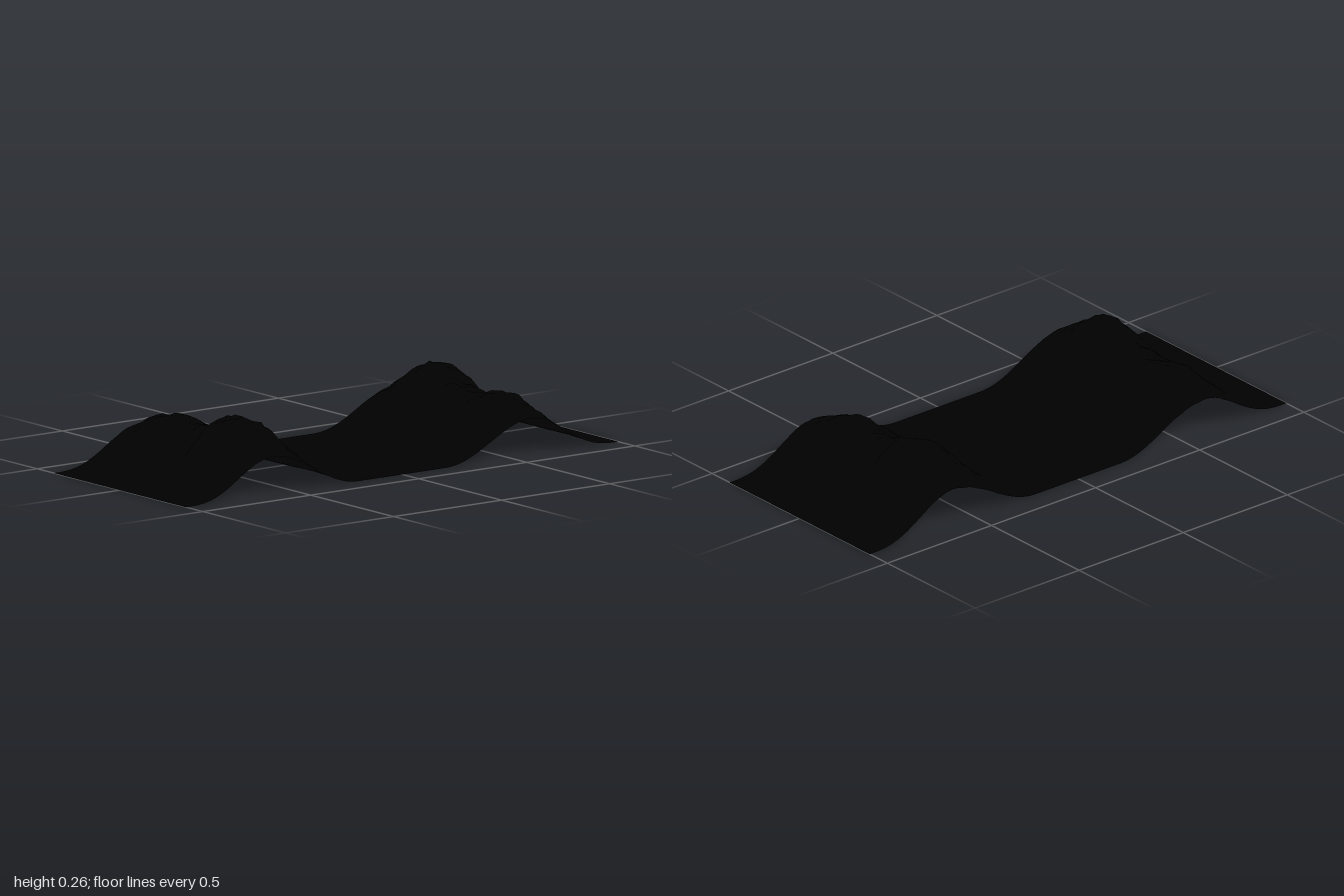
import * as THREE from 'three';

const { lerp, smoothstep } = THREE.MathUtils;

// Crest height along a ridge: a gentle shoulder, a saddle, a sharp step, then the summit
const crest = [
  [-0.4, 0.137], [-0.22, 0.205], [-0.1, 0.185], [0.08, 0.2], [0.1, 0.24],
  [0.18, 0.262], [0.23, 0.245], [0.3, 0.196], [0.4, 0.14],
];

function crestHeight(z) {
  const i = Math.max(1, crest.findIndex(([end]) => z <= end + 1e-6));
  const [a, u] = crest[i - 1];
  const [b, v] = crest[i];
  return lerp(u, v, (z - a) / (b - a));
}

// Smooth seeded value noise in the range -1..1
function hash(i, j) {
  const s = Math.sin(i * 127.1 + j * 311.7) * 43758.5453;
  return (s - Math.floor(s)) * 2 - 1;
}

function noise(x, y) {
  const i = Math.floor(x), j = Math.floor(y);
  const u = smoothstep(x - i, 0, 1), v = smoothstep(y - j, 0, 1);
  return lerp(
    lerp(hash(i, j), hash(i + 1, j), u),
    lerp(hash(i, j + 1), hash(i + 1, j + 1), u),
    v,
  );
}

function height(x, z) {
  // Bell-shaped slopes around each ridge line, steeper on the outer side
  const offset = Math.abs(x) - 0.6;
  const d = Math.min(1, Math.abs(offset) / 0.4);
  const bell = Math.pow((1 + Math.cos(Math.PI * d)) / 2, offset > 0 ? 1.5 : 1.05);
  // The two ridges are the same crest turned half round
  const h = crestHeight(x < 0 ? z : -z) * bell;
  // Rocky gullies on the upper slopes, weaker toward the cut ends
  const rough = smoothstep(h, 0.03, 0.16) * Math.min(1, (0.44 - Math.abs(z)) * 8);
  const rock = noise(x * 18 + 5, z * 18) * 0.009 + noise(x * 40, z * 40 + 9) * 0.008;
  return h + rock * rough;
}

export function createModel() {
  const group = new THREE.Group();
  group.name = 'valley';

  // One sheet of ground: flat valley floor between two mountain ridges
  const geometry = new THREE.PlaneGeometry(2, 0.8, 100, 40).rotateX(-Math.PI / 2);
  const p = geometry.attributes.position;
  for (let i = 0; i < p.count; i++) p.setY(i, height(p.getX(i), p.getZ(i)));
  geometry.computeVertexNormals();

  const terrain = new THREE.Mesh(
    geometry,
    new THREE.MeshStandardMaterial({ color: 0x000000, side: THREE.DoubleSide }),
  );
  terrain.name = 'terrain';
  group.add(terrain);
  return group;
}
